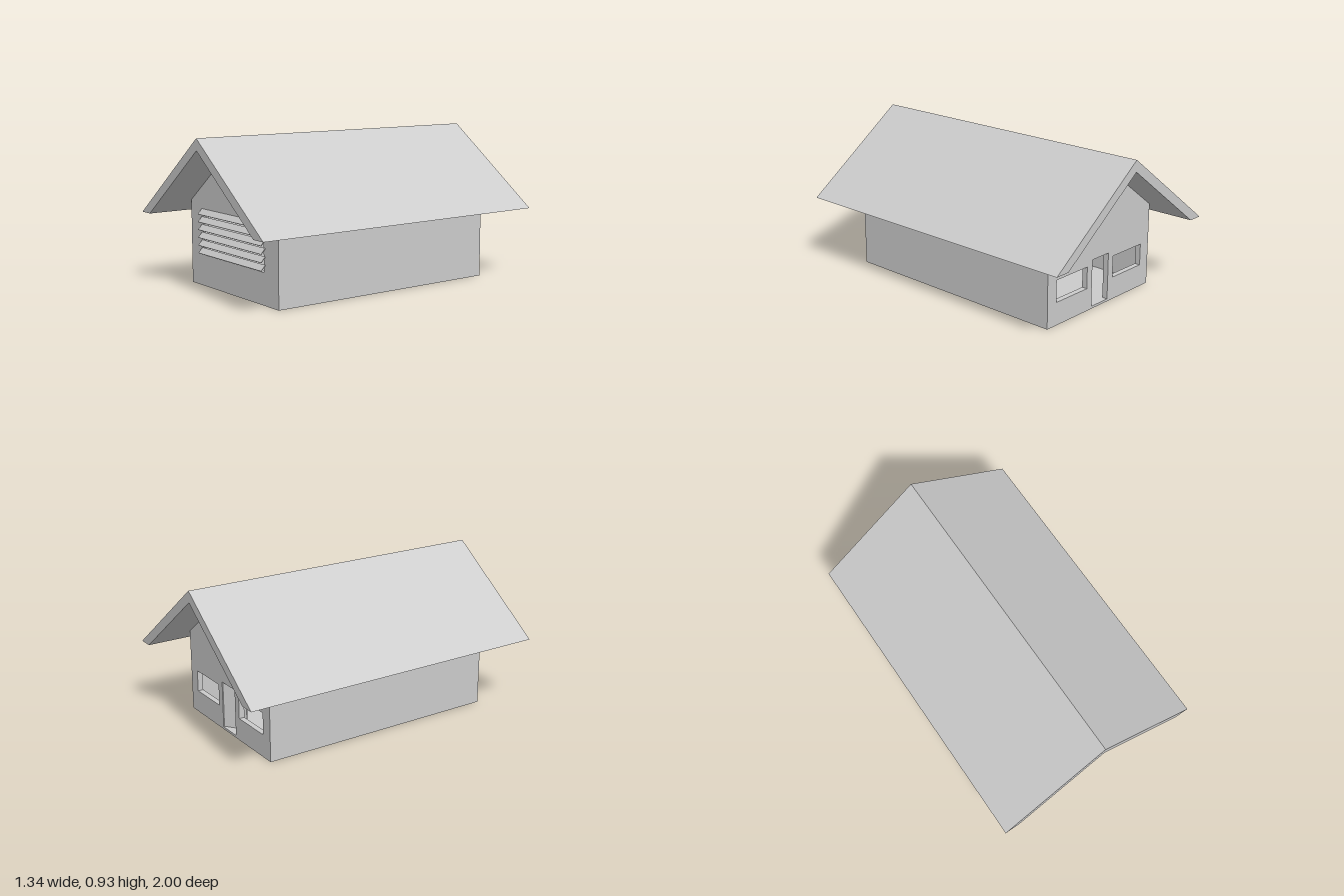
import * as THREE from 'three';

const material = new THREE.MeshStandardMaterial({ color: 0xcccccc, flatShading: true });

const HALF_W = 0.47, HALF_L = 0.77, WALL = 0.035, FLOOR = 0.015;
const APEX = 0.86, SLOPE = 0.739; // underside of the roof
const roofAt = (x) => APEX - SLOPE * Math.abs(x);

function polygon(points) {
  return new THREE.Shape(points.map(([x, y]) => new THREE.Vector2(x, y)));
}

function rect(x0, x1, y0, y1) {
  return polygon([[x0, y0], [x0, y1], [x1, y1], [x1, y0]]);
}

// Extrudes a shape along z from z0 to z1
function extrude(name, shape, z0, z1) {
  const geometry = new THREE.ExtrudeGeometry(shape, { depth: z1 - z0, bevelEnabled: false });
  geometry.translate(0, 0, z0);
  const mesh = new THREE.Mesh(geometry, material);
  mesh.name = name;
  return mesh;
}

function box(name, w, h, d) {
  const mesh = new THREE.Mesh(new THREE.BoxGeometry(w, h, d), material);
  mesh.name = name;
  return mesh;
}

function gableWall(name, z0, z1, openings) {
  const shape = polygon([
    [-HALF_W, 0], [HALF_W, 0], [HALF_W, roofAt(HALF_W)], [0, APEX], [-HALF_W, roofAt(HALF_W)],
  ]);
  shape.holes = openings;
  return extrude(name, shape, z0, z1);
}

export function createModel() {
  const model = new THREE.Group();
  model.name = 'house';

  // Roof: a thick chevron with level-cut eaves
  model.add(extrude('roof', polygon([
    [-0.67, 0.435], [-0.575, 0.435], [0, APEX], [0.575, 0.435], [0.67, 0.435], [0, 0.93],
  ]), -1, 1));

  // Gable walls with their openings
  model.add(gableWall('frontWall', HALF_L - WALL, HALF_L, [rect(-0.325, 0.325, 0.19, 0.455)]));
  model.add(gableWall('backWall', -HALF_L, -HALF_L + WALL, [
    rect(-0.075, 0.075, FLOOR, 0.305),
    rect(-0.393, -0.121, 0.14, 0.274),
    rect(0.121, 0.393, 0.14, 0.274),
  ]));

  // Side walls, topped to the roof slope
  const inner = HALF_W - WALL, zIn = HALF_L - WALL;
  for (const [name, s] of [['leftWall', 1], ['rightWall', -1]]) {
    model.add(extrude(name, polygon([
      [s * inner, 0], [s * HALF_W, 0], [s * HALF_W, roofAt(HALF_W)], [s * inner, roofAt(inner)],
    ]), -zIn, zIn));
  }

  // Floor slab between the walls
  const floor = box('floor', 2 * inner, FLOOR, 2 * zIn);
  floor.position.y = FLOOR / 2;
  model.add(floor);

  // Louvred shutter over the front opening
  const shutter = new THREE.Group();
  shutter.name = 'shutter';
  for (let i = 0; i < 6; i++) {
    const slat = box('slat', 0.686, 0.042, 0.004);
    slat.position.set(0, 0.218 + i * 0.0475, 0.785);
    slat.rotation.x = -0.73;
    shutter.add(slat);
  }
  model.add(shutter);

  // Back door, ajar and swinging inward
  const door = new THREE.Group();
  door.name = 'backDoor';
  const panel = box('doorPanel', 0.148, 0.288, 0.01);
  panel.position.set(-0.074, 0.146 + FLOOR, 0.005);
  door.add(panel);
  door.position.set(0.074, 0, -HALF_L + 0.005);
  door.rotation.y = 0.64;
  model.add(door);

  return model;
}
